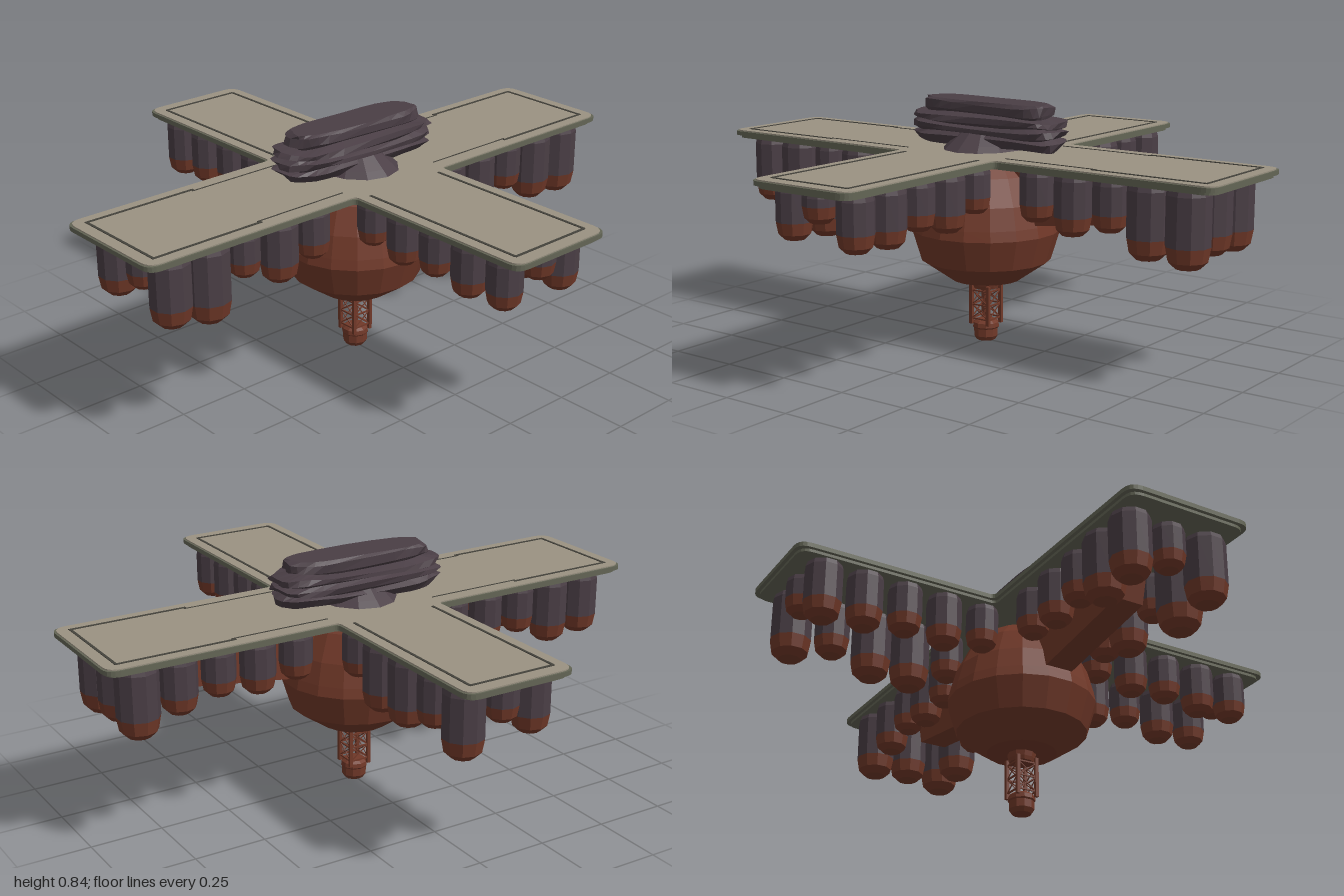
import * as THREE from 'three';

const mat = (name, color) => Object.assign(new THREE.MeshStandardMaterial({ color }), { name });

export function createModel() {
  const model = new THREE.Group();
  model.name = 'floatingPlatform';
  const tan = mat('tan deck', 0x9a9282);
  const green = mat('grey green rim', 0x636555);
  const purple = mat('dark purple rock', 0x4a3e45);
  const rust = mat('rust', 0x703828);
  const dark = mat('dark groove', 0x45433c);

  // Faceted mesh: unshared vertices give each face its own normal
  const add = (name, geo, material, parent = model) => {
    const g = geo.index ? geo.toNonIndexed() : geo;
    g.computeVertexNormals();
    const mesh = new THREE.Mesh(g, material);
    mesh.name = name;
    parent.add(mesh);
    return mesh;
  };
  const lathe = (pts, sides) =>
    new THREE.LatheGeometry(pts.map(([r, y]) => new THREE.Vector2(r, y)), sides);
  const box = (name, w, h, d, x, y, z, m, parent) => {
    const b = add(name, new THREE.BoxGeometry(w, h, d), m, parent);
    b.position.set(x, y, z);
    return b;
  };

  // Cross-shaped deck with rounded corners
  function crossShape(inset) {
    const X = 1 - inset, Z = 0.93 - inset, a = 0.2 - inset, b = 0.225 - inset;
    const pts = [[X, -b], [X, b], [a, b], [a, Z], [-a, Z], [-a, b],
      [-X, b], [-X, -b], [-a, -b], [-a, -Z], [a, -Z], [a, -b]];
    const shape = new THREE.Shape();
    pts.forEach((p, i) => {
      const r = i % 3 === 2 ? 0.02 : 0.045;
      const toward = (q) => {
        const l = Math.hypot(q[0] - p[0], q[1] - p[1]);
        return [p[0] + (q[0] - p[0]) * r / l, p[1] + (q[1] - p[1]) * r / l];
      };
      const s = toward(pts[(i + 11) % 12]), e = toward(pts[(i + 1) % 12]);
      if (i === 0) shape.moveTo(...s); else shape.lineTo(...s);
      shape.quadraticCurveTo(...p, ...e);
    });
    shape.closePath();
    return shape;
  }
  function slab(name, inset, y0, y1, m) {
    const g = new THREE.ExtrudeGeometry(crossShape(inset),
      { depth: y1 - y0, bevelEnabled: false, curveSegments: 5 });
    g.rotateX(-Math.PI / 2);
    add(name, g, m).position.y = y0;
  }
  slab('deckUnderside', 0.012, 0.652, 0.662, green);
  slab('deckRim', 0, 0.662, 0.677, green);
  slab('deckTop', 0.006, 0.677, 0.681, tan);

  // Panel grooves on each arm
  const grooves = new THREE.Group();
  grooves.name = 'deckGrooves';
  model.add(grooves);
  const gy = 0.681, gh = 0.004, w = 0.009;
  for (const s of [-1, 1]) {
    box('armEndGroove', w, gh, 0.36, s * 0.95, gy, 0, dark, grooves);
    box('armEndGroove', 0.31, gh, w, 0, gy, s * 0.875, dark, grooves);
    for (const t of [-1, 1]) {
      box('armSideGroove', 0.41, gh, w, s * 0.75, gy, t * 0.178, dark, grooves);
      box('armSideGroove', 0.35, gh, w * 0.4, s * 0.38, gy, t * 0.168, dark, grooves);
      box('armSideGroove', w, gh, 0.63, t * 0.153, gy, s * 0.56, dark, grooves);
    }
  }

  // Rocky mound and ragged layered rock on top
  add('moundBase', lathe([[0.17, 0.675], [0.14, 0.70], [0.09, 0.74], [0, 0.76]], 12), purple)
    .scale.set(0.85, 1, 1);
  const layers = [ // y, half length, half depth
    [0.842, 0.245, 0.066], [0.832, 0.26, 0.074], [0.805, 0.262, 0.074], [0.797, 0.245, 0.066],
    [0.789, 0.30, 0.10], [0.772, 0.305, 0.102], [0.764, 0.28, 0.085], [0.755, 0.305, 0.104],
    [0.737, 0.30, 0.10], [0.73, 0.275, 0.085], [0.72, 0.305, 0.10], [0.69, 0.28, 0.075]];
  const rock = new THREE.CylinderGeometry(1, 1, 1, 28, layers.length - 1);
  const p = rock.attributes.position;
  const round = (v) => Math.sign(v) * Math.abs(v) ** 0.6;
  for (let i = 0; i < p.count; i++) {
    const row = Math.round((0.5 - p.getY(i)) * (layers.length - 1));
    const [y, hx, hz] = layers[row];
    const c = p.getX(i), s = p.getZ(i), a = Math.atan2(s, c);
    const rag = 1 + 0.025 * Math.sin(5 * a + row * 2.3) + 0.02 * Math.sin(9 * a - row * 1.7);
    const wave = row ? 0.004 * Math.sin(3 * a + row) : 0;
    p.setXYZ(i, round(c) * hx * rag, y + wave, round(s) * hz * rag - 0.012 + c * 0.012);
  }
  add('layeredRock', rock, purple);

  // Faceted hull bowl and neck
  add('hullBowl', lathe([[0, 0.215], [0.12, 0.222], [0.225, 0.295], [0.257, 0.40], [0.25, 0.435],
    [0.23, 0.51], [0.185, 0.60], [0.12, 0.66]], 18), rust);
  add('neck', lathe([[0, 0.185], [0.042, 0.187], [0.046, 0.20], [0.05, 0.225]], 10), rust);

  // Lattice tower: posts, rungs and crossed braces
  const tower = new THREE.Group();
  tower.name = 'latticeTower';
  model.add(tower);
  for (let i = 0; i < 4; i++) {
    const side = new THREE.Group();
    side.name = 'towerSide';
    side.rotation.y = i * Math.PI / 2;
    tower.add(side);
    box('post', 0.012, 0.14, 0.012, 0.036, 0.13, 0.036, rust, side);
    for (const y of [0.08, 0.13, 0.18]) box('rung', 0.072, 0.005, 0.005, 0, y, 0.036, rust, side);
    for (const y of [0.105, 0.155]) {
      for (const t of [-1, 1]) {
        box('brace', 0.085, 0.003, 0.003, 0, y, 0.036, rust, side).rotation.z = t * 0.62;
      }
    }
  }
  add('footPod', lathe([[0, 0], [0.033, 0.003], [0.043, 0.018], [0.043, 0.045], [0.047, 0.05],
    [0.045, 0.065], [0.035, 0.073], [0, 0.075]], 10), rust);

  // Tapered support fins under the two long arms
  for (const s of [-1, 1]) {
    const fin = new THREE.Shape([[0.15, 0.655], [0.15, 0.43], [0.66, 0.50], [0.70, 0.655]]
      .map(([x, y]) => new THREE.Vector2(x, y)));
    const g = new THREE.ExtrudeGeometry(fin, { depth: 0.1, bevelEnabled: false });
    g.translate(0, 0, -0.05);
    if (s < 0) g.rotateY(Math.PI);
    add('supportFin', g, rust);
  }

  // Hanging pods: dark shaft with a rust domed tip; longer pods are wider
  function pod(x, z, bottom) {
    const g = new THREE.Group();
    g.name = 'hangingPod';
    g.position.set(x, 0, z);
    model.add(g);
    const r = 0.055 + Math.max(0, 0.5 - bottom) * 0.17;
    const seam = bottom + r * 1.05;
    add('podShaft', lathe([[r, seam], [r, 0.635], [r * 0.9, 0.656]], 10), purple, g);
    add('podTip', lathe([[0, bottom], [r * 0.55, bottom + r * 0.08], [r * 0.88, bottom + r * 0.4],
      [r, seam]], 10), rust, g);
  }
  // Rows along both edges of an arm, given by pod bottoms from the tip inward
  const rowX = (s, z, bottoms) =>
    bottoms.forEach((b, i) => pod(s * (0.87 - i * 0.14), z, b));
  const rowZ = (s, x, bottoms) =>
    bottoms.forEach((b, i) => pod(x, s * (0.81 - i * 0.145), b));
  rowX(1, 0.14, [0.40, 0.41, 0.48, 0.45, 0.48]);
  rowX(1, -0.14, [0.41, 0.46, 0.49, 0.47, 0.49]);
  rowX(-1, 0.14, [0.42, 0.39, 0.50, 0.44, 0.48]);
  rowX(-1, -0.14, [0.43, 0.42, 0.48, 0.47, 0.49]);
  rowZ(1, 0.125, [0.47, 0.46, 0.49, 0.46, 0.50]);
  rowZ(1, -0.125, [0.48, 0.47, 0.49, 0.48, 0.50]);
  rowZ(-1, 0.125, [0.42, 0.47, 0.42, 0.42, 0.49]);
  rowZ(-1, -0.125, [0.45, 0.46, 0.48, 0.47, 0.50]);
  // Single pods at the arm tips
  pod(0.87, 0, 0.42);
  pod(-0.87, 0, 0.50);
  pod(0, 0.83, 0.55);
  pod(0, -0.83, 0.52);

  return model;
}
